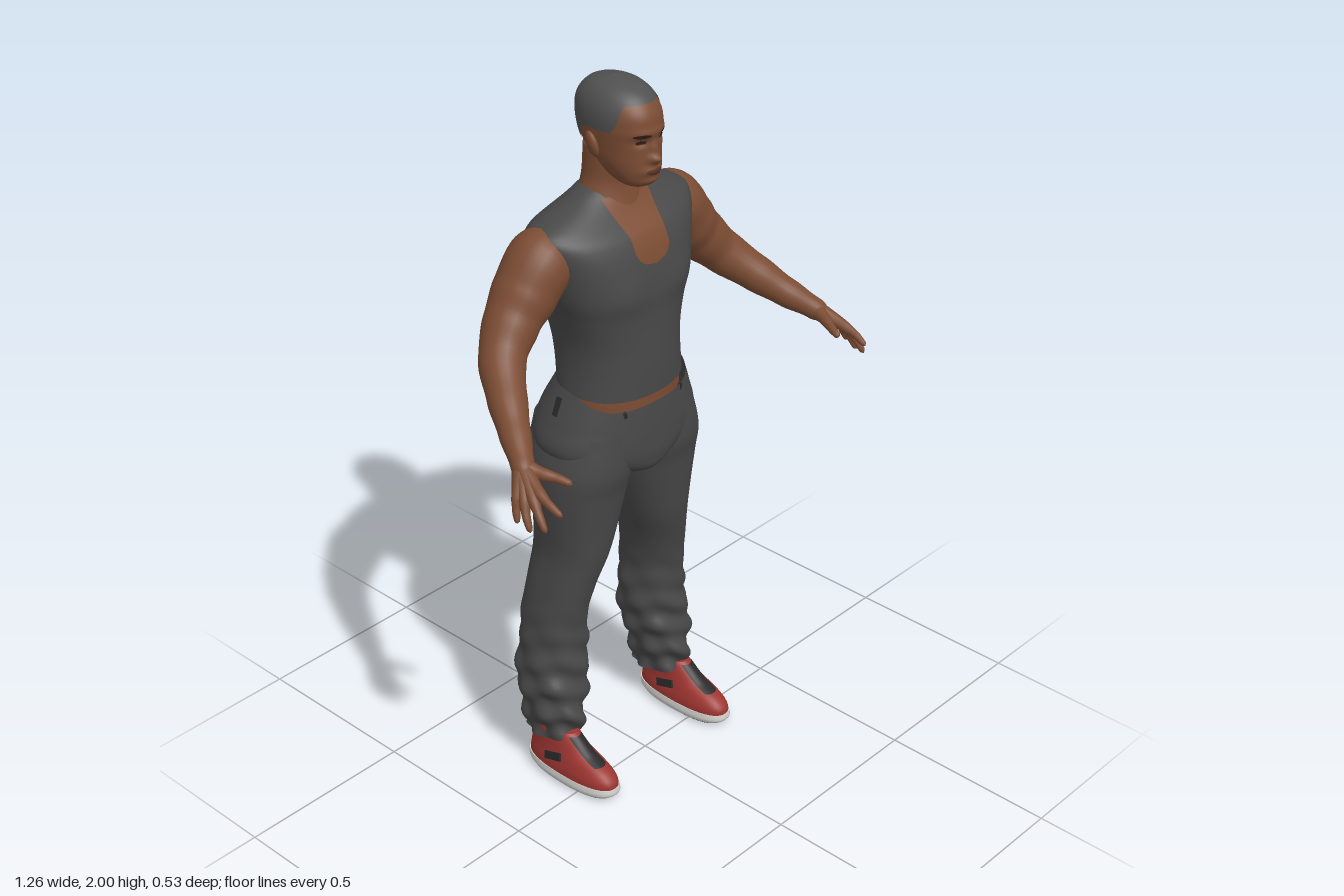
import * as THREE from 'three';

const mat = (name, color, double) => {
  const m = new THREE.MeshStandardMaterial({ color, side: double ? THREE.DoubleSide : THREE.FrontSide });
  m.name = name;
  return m;
};

// Cross-section at height y from rows of [y, xMin, xMax, zBack, zFront, squareness]
function section(rows, y) {
  let i = 0;
  while (i < rows.length - 2 && y > rows[i + 1][0]) i++;
  const a = rows[i], b = rows[i + 1], h = b[0] - a[0];
  const t = Math.min(1, Math.max(0, (y - a[0]) / h));
  const slope = (k, c) => {
    const p = rows[Math.max(0, k - 1)], q = rows[Math.min(rows.length - 1, k + 1)];
    return (q[c] - p[c]) / (q[0] - p[0]);
  };
  return [1, 2, 3, 4, 5].map(c => a[c] * (1 + 2 * t) * (1 - t) ** 2 + slope(i, c) * h * t * (1 - t) ** 2
    + b[c] * t * t * (3 - 2 * t) + slope(i + 1, c) * h * t * t * (t - 1));
}

function surfacePoint(rows, y, a, grow, bump) {
  const [x0, x1, z0, z1, e] = section(rows, y);
  const s = Math.sin(a), c = Math.cos(a), pw = v => Math.sign(v) * Math.abs(v) ** e;
  const x = (x0 + x1) / 2 + (x1 - x0) / 2 * pw(s);
  const out = grow + bump(x, y, c, a);
  return [x + s * out, y, (z0 + z1) / 2 + (z1 - z0) / 2 * pw(c) + c * out];
}

const none = () => 0;
function build(pos, idx) {
  const g = new THREE.BufferGeometry();
  g.setAttribute('position', new THREE.Float32BufferAttribute(pos, 3));
  g.setIndex(idx);
  g.computeVertexNormals();
  return g;
}

// Closed rings stacked upward; y0 and y1 may vary with the angle
function loft(rows, { y0 = () => rows[0][0], y1 = () => rows[rows.length - 1][0], n = 48, m = 40, grow = 0, bump = none, cap = false } = {}) {
  const pos = [], idx = [];
  for (let j = 0; j <= m; j++) for (let i = 0; i < n; i++) {
    const a = i / n * Math.PI * 2;
    pos.push(...surfacePoint(rows, y0(a) + (y1(a) - y0(a)) * j / m, a, grow, bump));
  }
  for (let j = 0; j < m; j++) for (let i = 0; i < n; i++) {
    const a = j * n + i, b = j * n + (i + 1) % n;
    idx.push(a, b, a + n, b, b + n, a + n);
  }
  if (cap) for (const j of [0, m]) {
    const base = pos.length / 3, ring = pos.slice(j * n * 3, (j + 1) * n * 3);
    for (const v of ring) pos.push(v);
    for (let i = 1; i < n - 1; i++) idx.push(base, base + (j ? i : i + 1), base + (j ? i + 1 : i));
  }
  return build(pos, idx);
}

// Thin panel laid on the front of a loft between xa(y) and xb(y)
function panel(rows, bump, y0, y1, xa, xb, off = 0.003) {
  const pos = [], idx = [], n = 16, m = 24;
  for (let j = 0; j <= m; j++) for (let i = 0; i <= n; i++) {
    const y = y0 + (y1 - y0) * j / m, x = xa(y) + (xb(y) - xa(y)) * i / n;
    const [x0, x1, z0, z1, e] = section(rows, y);
    const s = Math.min(1, Math.abs(x - (x0 + x1) / 2) / ((x1 - x0) / 2)) ** (1 / e);
    const c = Math.sqrt(1 - s * s);
    pos.push(x, y, (z0 + z1) / 2 + (z1 - z0) / 2 * c ** e + c * bump(x, y, c, 0) + off);
    if (i < n && j < m) {
      const a = j * (n + 1) + i, d = a + n + 1;
      idx.push(a, a + 1, d, a + 1, d + 1, d);
    }
  }
  return build(pos, idx);
}

// Tapered round tube through [x, y, z, radius] points with a rounded tip
function limb(pts, n = 14, m = 28) {
  const curve = new THREE.CatmullRomCurve3(pts.map(p => new THREE.Vector3(p[0], p[1], p[2])));
  const f = curve.computeFrenetFrames(m), pos = [], idx = [];
  for (let j = 0; j <= m; j++) {
    const t = j / m, k = t * (pts.length - 1), i0 = Math.min(pts.length - 2, Math.floor(k));
    let r = THREE.MathUtils.lerp(pts[i0][3], pts[i0 + 1][3], THREE.MathUtils.smoothstep(k - i0, 0, 1));
    if (t > 0.9) r *= Math.sqrt(Math.max(0, 1 - ((t - 0.9) / 0.1) ** 2));
    const c = curve.getPoint(t), T = curve.getTangent(t);
    const N = f.normals[j], B = new THREE.Vector3().crossVectors(T, N).normalize();
    for (let i = 0; i < n; i++) {
      const a = i / n * Math.PI * 2;
      const p = c.clone().addScaledVector(N, r * Math.cos(a)).addScaledVector(B, r * Math.sin(a));
      pos.push(p.x, p.y, p.z);
      const q = j * n + i, w = j * n + (i + 1) % n;
      if (j < m) idx.push(q, w, q + n, w, w + n, q + n);
    }
  }
  return build(pos, idx);
}

const step = THREE.MathUtils.smoothstep;
const bell = (v, c, w) => Math.exp(-(((v - c) / w) ** 2));

const torsoRows = [
  [1.16, -.178, .178, -.225, .045, .9], [1.25, -.168, .168, -.24, .046, .88], [1.32, -.17, .17, -.252, .044, .86],
  [1.4, -.19, .19, -.262, .042, .82], [1.46, -.212, .212, -.268, .042, .8], [1.55, -.235, .235, -.268, .03, .8],
  [1.61, -.258, .258, -.255, .006, .85], [1.64, -.258, .258, -.235, -.022, .88], [1.66, -.222, .222, -.22, -.04, .9],
  [1.69, -.14, .14, -.2, -.06, .95], [1.72, -.075, .075, -.185, -.075, 1]];
const hipRows = [
  [.915, -.03, .03, -.16, -.01, 1], [.94, -.1, .1, -.22, .03, 1], [.98, -.2, .2, -.255, .044, .95],
  [1.03, -.242, .242, -.268, .046, .88], [1.1, -.225, .225, -.266, .045, .88], [1.2, -.182, .182, -.222, .04, .9]];
const legRows = [
  [.1, .165, .265, -.23, -.062, .95], [.2, .142, .285, -.24, -.05, .9], [.25, .128, .29, -.25, -.055, .9],
  [.3, .115, .294, -.255, -.06, .9], [.4, .11, .28, -.255, -.065, .9], [.5, .115, .27, -.25, -.06, .9],
  [.6, .1, .255, -.24, -.04, .9], [.7, .067, .24, -.235, -.015, .9], [.8, .038, .245, -.236, 0, .9],
  [.9, .012, .254, -.25, .015, .9], [.97, -.002, .252, -.26, .03, .9], [1.08, 0, .222, -.255, .03, .95]];
const neckRows = [
  [1.63, -.1, .1, -.2, -.03, 1], [1.7, -.086, .086, -.192, -.052, 1], [1.74, -.073, .073, -.188, -.055, 1], [1.82, -.07, .07, -.185, -.04, 1]];
const headRows = [
  [1.735, -.028, .028, -.06, .002, 1], [1.745, -.045, .045, -.08, .018, .95], [1.765, -.06, .06, -.11, .025, .9], [1.8, -.073, .073, -.15, .028, .88],
  [1.84, -.079, .079, -.185, .028, .86], [1.88, -.083, .083, -.2, .031, .88], [1.92, -.084, .084, -.205, .03, .92],
  [1.95, -.077, .077, -.198, .014, .95], [1.975, -.061, .061, -.178, -.012, 1], [1.99, -.038, .038, -.15, -.048, 1], [1.998, -.001, .001, -.1, -.098, 1]];
const shoeRows = [
  [.03, .171, .285, -.212, .1, .85], [.055, .173, .283, -.21, .095, .85], [.08, .18, .276, -.207, .066, .88],
  [.105, .185, .27, -.207, .01, .92], [.15, .188, .265, -.208, -.05, 1]];
const soleRows = [[.008, .172, .284, -.2, .09, .82], [.02, .168, .288, -.213, .103, .82], [.038, .17, .286, -.214, .101, .82]];
const treadRows = [[0, .18, .276, -.19, .078, .82], [.01, .174, .282, -.202, .092, .82]];

// Brow, eye sockets, nose, lips and chin
const face = (x, y, c) => c <= 0 ? 0 :
  .006 * bell(y, 1.885, .012) * bell(x, 0, .055) - .008 * bell(y, 1.863, .011) * bell(Math.abs(x), .035, .017)
  + .022 * bell(y, 1.816, .013) * bell(x, 0, .016) + .013 * bell(y, 1.842, .02) * bell(x, 0, .011)
  + .011 * bell(y, 1.785, .014) * bell(x, 0, .03) + .007 * bell(y, 1.757, .01) * bell(x, 0, .025);
// Spine groove, chest and seat cleft
const chest = (x, y, c) => c < 0 ? -.012 * bell(x, 0, .035) * step(y, 1.2, 1.35)
  : .008 * bell(Math.abs(x), .09, .06) * bell(y, 1.47, .05);
const seat = (x, y, c) => c < 0 ? -.03 * bell(x, 0, .022) * bell(y, 1.0, .1) : 0;
// Trouser folds gather toward the ankle
const folds = (x, y, c, a) => (1 - step(y, .2, .6)) * (.007 * Math.sin(y * 75 + 2 * Math.sin(a * 2)) + .005 * Math.sin(a * 5 + y * 40));

export function createModel() {
  const model = new THREE.Group();
  model.name = 'standingMan';
  const skin = mat('skin', 0x7b4c33, true), cloth = mat('charcoalCloth', 0x484848, true), hairMat = mat('croppedHair', 0x505050, true);
  const red = mat('shoeRed', 0x9c3530, true), white = mat('soleWhite', 0xd2d0cc), dark = mat('darkTrim', 0x2a2828, true);
  const lipMat = mat('lips', 0x5c3527, true), browMat = mat('brows', 0x2c1c15, true);
  const add = (name, geo, material) => {
    const mesh = new THREE.Mesh(geo, material);
    mesh.name = name;
    model.add(mesh);
    return mesh;
  };

  // Clothing on the trunk, with bare skin at neck and waist
  add('shirt', loft(torsoRows, { y0: a => 1.18 - .008 * Math.cos(a), n: 72, m: 56, bump: chest }), cloth);
  const half = y => y < 1.58 ? .06 * Math.sqrt(Math.max(0, 1 - ((1.58 - y) / .045) ** 2)) : .06 + .018 * step(y, 1.6, 1.7);
  add('openNeckline', panel(torsoRows, chest, 1.535, 1.7, y => -half(y), half, .004), skin);
  add('waist', loft(torsoRows, { y0: () => 1.1, y1: () => 1.22, m: 10, grow: -.007 }), skin);
  add('trouserSeat', loft(hipRows, { y1: a => 1.195 - .05 * step(Math.cos(a), -.1, 1), n: 72, bump: seat }), cloth);
  for (const s of [-1, 1]) {
    const front = add('frontBeltLoop', new THREE.BoxGeometry(.01, .05, .008), dark);
    front.position.set(s * .1, 1.12, .027);
    front.rotation.set(0, s * .3, -s * .25);
    const side = add('sideBeltLoop', new THREE.BoxGeometry(.008, .05, .014), dark);
    side.position.set(s * .206, 1.15, -.115);
    side.rotation.z = s * .4;
  }

  // Head
  add('neck', loft(neckRows, { m: 16 }), skin);
  add('head', loft(headRows, { n: 96, m: 64, bump: face, cap: true }), skin);
  const hairline = a => {
    const c = Math.cos(a);
    return 1.835 + .05 * step(c, -.75, -.25) + .07 * step(c, .3, .75);
  };
  add('hair', loft(headRows, { y0: hairline, n: 72, m: 32, grow: .003 }), hairMat);
  const lens = (mid, h, w) => y => w * Math.sqrt(Math.max(0, 1 - ((y - mid) / h) ** 2));
  const lip = lens(1.784, .009, .026);
  add('lips', panel(headRows, face, 1.775, 1.793, y => -lip(y), lip, .002), lipMat);
  for (const s of [-1, 1]) {
    const eye = lens(1.863, .005, .013);
    add('eye', panel(headRows, face, 1.858, 1.868, y => s * .035 - eye(y), y => s * .035 + eye(y), .002), browMat);
    const brow = lens(1.881, .005, .02);
    add('brow', panel(headRows, face, 1.876, 1.886, y => s * .036 - brow(y), y => s * .036 + brow(y), .002), browMat);
    const ear = add('ear', new THREE.SphereGeometry(1, 16, 12), skin);
    ear.scale.set(.012, .035, .022);
    ear.position.set(s * .088, 1.845, -.095);
    ear.rotation.set(-.2, s * .3, -s * .15);
  }

  // Arms, hands, legs and shoes
  for (const s of [-1, 1]) {
    const flip = pts => pts.map(p => [s * p[0], p[1], p[2], p[3]]);
    const mirror = rows => s > 0 ? rows : rows.map(r => [r[0], -r[2], -r[1], r[3], r[4], r[5]]);
    add('arm', limb(flip([[.17, 1.6, -.13, .07], [.235, 1.565, -.133, .088], [.29, 1.5, -.135, .084], [.345, 1.44, -.128, .072],
      [.405, 1.375, -.1, .06], [.46, 1.315, -.03, .05], [.505, 1.265, .04, .04], [.545, 1.225, .105, .03], [.568, 1.2, .14, .026]]), 24, 56), skin);
    const fingers = {
      indexFinger: [[.572, 1.19, .185, .016], [.577, 1.175, .225, .011], [.574, 1.155, .266, .008]],
      middleFinger: [[.586, 1.18, .18, .016], [.598, 1.148, .212, .011], [.603, 1.112, .24, .008]],
      ringFinger: [[.596, 1.174, .163, .016], [.611, 1.142, .182, .011], [.618, 1.105, .203, .008]],
      littleFinger: [[.603, 1.176, .145, .014], [.616, 1.147, .154, .01], [.624, 1.117, .165, .007]],
      thumb: [[.532, 1.212, .16, .016], [.515, 1.206, .195, .012], [.502, 1.198, .23, .009]]
    };
    for (const [name, pts] of Object.entries(fingers)) add(name, limb(flip([[.55, 1.22, .11, .024], ...pts]), 10, 24), skin);

    add('trouserLeg', loft(mirror(legRows), { y0: a => .115 + .02 * Math.cos(a), n: 56, m: 90, bump: folds }), cloth);
    add('shoeUpper', loft(mirror(shoeRows), { m: 20, cap: true }), red);
    add('shoeSole', loft(mirror(soleRows), { m: 6, cap: true }), white);
    add('shoeTread', loft(mirror(treadRows), { m: 2, cap: true }), dark);
    add('shoeTongue', panel(mirror(shoeRows), none, .088, .145, () => s * .228 - .022, () => s * .228 + .022, .005), dark);
    for (const k of [-1, 1]) {
      const trim = add('shoeSideTrim', new THREE.BoxGeometry(.008, .022, .06), dark);
      trim.position.set(s * .228 + k * .049, .078, -.09);
      trim.rotation.set(-.3, 0, k * .25);
    }
  }
  return model;
}
